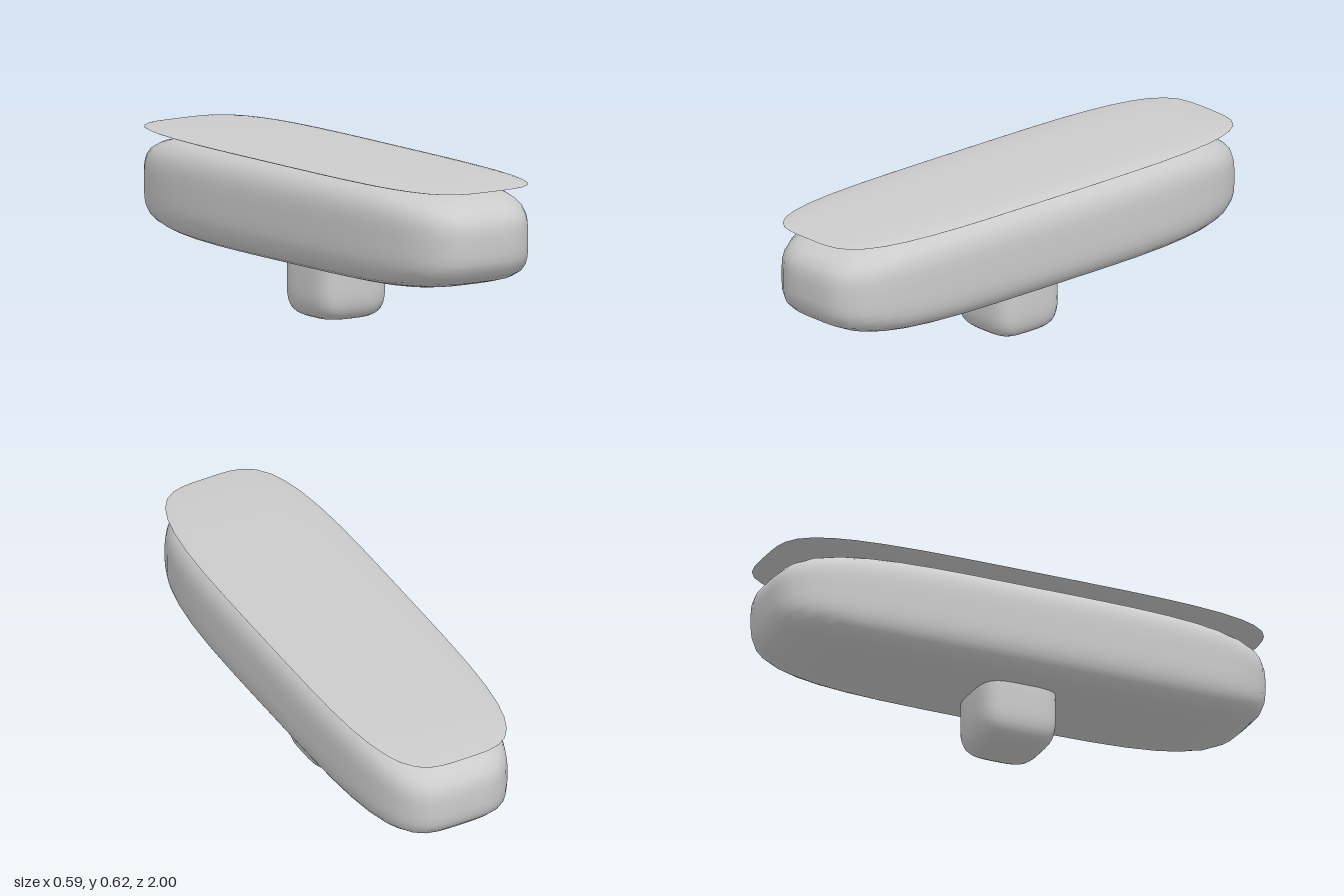
import * as THREE from 'three';
import { mergeVertices } from 'three/addons/utils/BufferGeometryUtils.js';

// Soft pillow-like box: a cube pushed onto a rounded-square solid.
// half = half sizes, edge = exponent of the vertical rounding (4 = full, near 1 = bevelled),
// flat = slight overshoot in y that is cut off to leave flat top and bottom faces.
function softBox(name, half, centreY, edge = 4, flat = 1) {
  const raw = new THREE.BoxGeometry(2, 2, 2, 12, 12, 12);
  raw.deleteAttribute('uv');
  raw.deleteAttribute('normal');
  const geometry = mergeVertices(raw);
  const pos = geometry.attributes.position;
  for (let i = 0; i < pos.count; i++) {
    let x = pos.getX(i), y = pos.getY(i), z = pos.getZ(i);
    const k = Math.pow(x ** 4 + y ** 4 + z ** 4, 0.25);
    x /= k;
    z /= k;
    const rest = Math.max(0, 1 - x ** 4 - z ** 4);
    y = Math.abs(y) < 1e-6 ? 0 : Math.sign(y) * Math.min(1, flat * Math.pow(rest, 1 / edge));
    pos.setXYZ(i, x * half[0], y * half[1] + centreY, z * half[2]);
  }
  geometry.computeVertexNormals();
  const mesh = new THREE.Mesh(geometry, new THREE.MeshStandardMaterial({ color: 0xcccccc }));
  mesh.name = name;
  return mesh;
}

export function createModel() {
  const model = new THREE.Group();
  model.name = 'paddedBench';
  model.add(
    // short foot under the middle
    softBox('foot', [0.155, 0.15, 0.155], 0.15, 4, 1.04),
    // long rounded body
    softBox('body', [0.297, 0.19, 1], 0.398, 4, 1.04),
    // thin bevelled plate on top
    softBox('topPlate', [0.297, 0.02, 0.995], 0.602, 1.3, 1.06)
  );
  return model;
}
